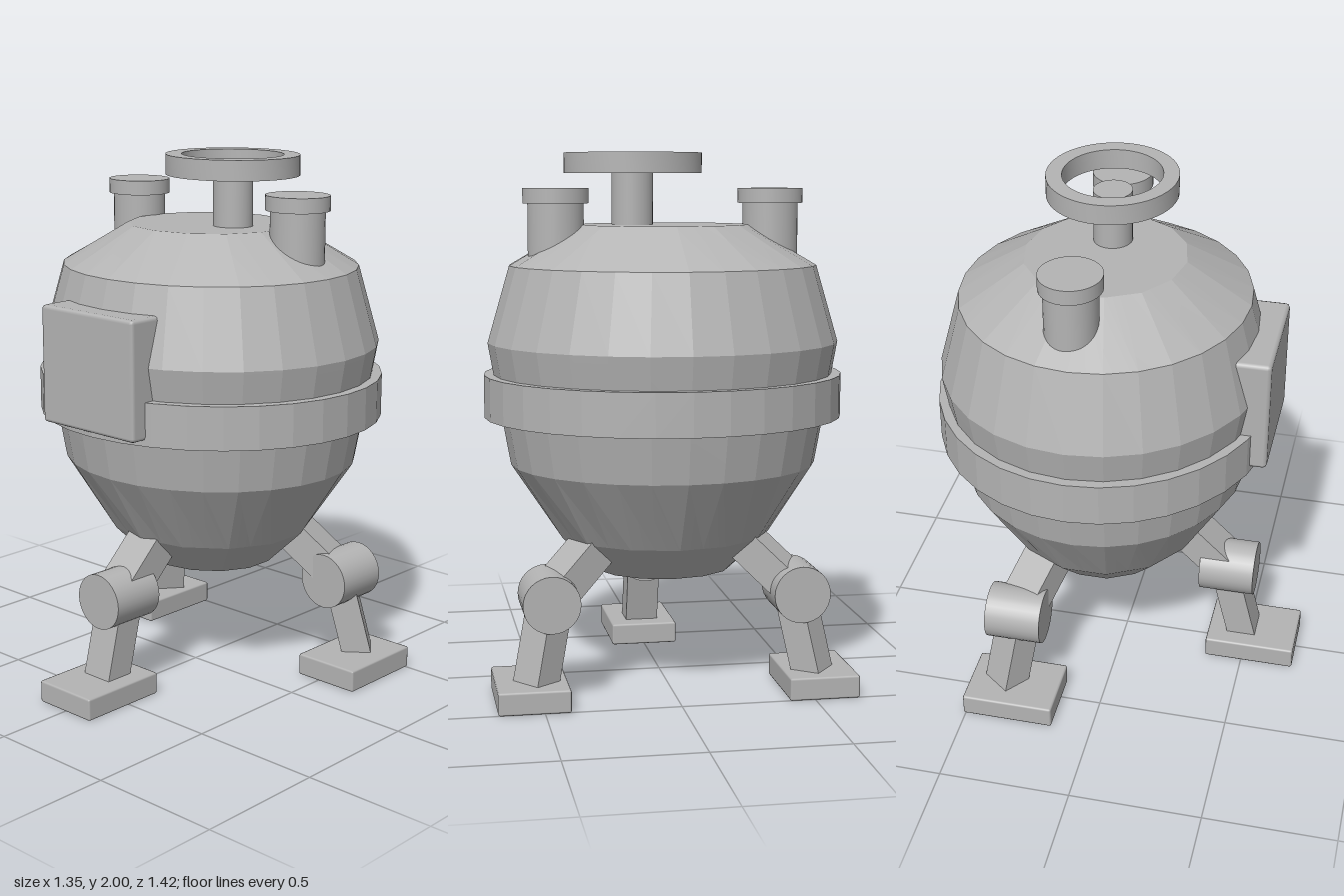
import * as THREE from 'three';
import { toCreasedNormals } from 'three/addons/utils/BufferGeometryUtils.js';
import { RoundedBoxGeometry } from 'three/addons/geometries/RoundedBoxGeometry.js';

const SQUASH = 0.935; // the vessel is slightly narrower front to back
const AXIS_Z = -0.08; // centre line of the vessel

export function createModel() {
  const model = new THREE.Group();
  model.name = 'tankOnLegs';
  const metal = new THREE.MeshStandardMaterial({ color: 0xb4b4b4 });
  metal.name = 'grey metal';

  const add = (name, geometry, x, y, z) => {
    const mesh = new THREE.Mesh(geometry, metal);
    mesh.name = name;
    mesh.position.set(x, y, z);
    model.add(mesh);
    return mesh;
  };
  const lathe = (points, sides) =>
    new THREE.LatheGeometry(points.map(([r, y]) => new THREE.Vector2(r, y)), sides);

  // upright cylinder between two heights, squashed like the vessel
  const post = (name, r, y0, y1, x, z) => {
    const g = new THREE.CylinderGeometry(r, r, y1 - y0, 32).scale(1, 1, SQUASH);
    return add(name, g, x, (y0 + y1) / 2, z);
  };

  // square bar running between two points
  const bar = (name, from, to, width, depth) => {
    const a = new THREE.Vector3(...from), b = new THREE.Vector3(...to);
    const m = a.clone().add(b).multiplyScalar(0.5);
    const mesh = add(name, new THREE.BoxGeometry(width, depth, a.distanceTo(b)), m.x, m.y, m.z);
    mesh.lookAt(b);
    return mesh;
  };

  // faceted vessel: 28 sides in the middle, 14 sides on the marked end rings
  const profile = [
    [0, 0.435, 0], [0.265, 0.435, 1], [0.405, 0.57, 1], [0.577, 0.84, 0], [0.61, 1.02, 0],
    [0.66, 1.3, 0], [0.577, 1.585, 0], [0.32, 1.735, 1], [0, 1.735, 0],
  ];
  const body = lathe(profile, 28);
  const pos = body.attributes.position;
  for (let i = 0; i < pos.count; i++) {
    const column = Math.floor(i / profile.length);
    const coarse = profile[i % profile.length][2];
    const k = coarse && column % 2 ? Math.cos(Math.PI / 14) : 1;
    pos.setX(i, pos.getX(i) * k);
    pos.setZ(i, pos.getZ(i) * k * SQUASH);
  }
  add('vessel', toCreasedNormals(body, 0.08), 0, 0, AXIS_Z);

  // band around the middle
  const band = new THREE.CylinderGeometry(0.675, 0.675, 0.16, 32).scale(1, 1, SQUASH);
  add('band', toCreasedNormals(band, 0.08), 0, 1.1, AXIS_Z);

  // front hatch
  add('hatch', new RoundedBoxGeometry(0.47, 0.44, 0.17, 1, 0.015), 0, 1.26, 0.487);

  // capped pipes on both shoulders
  for (const side of [-1, 1]) {
    post('pipe', 0.104, 1.6, 1.82, side * 0.405, -0.108);
    post('pipeCap', 0.122, 1.815, 1.87, side * 0.405, -0.108);
  }

  // hand wheel, offset to the left, and its stem
  post('wheelStem', 0.077, 1.7, 1.935, 0.115, AXIS_Z);
  const rim = lathe([[0.195, 1.925], [0.257, 1.925], [0.257, 2], [0.195, 2], [0.195, 1.925]], 48);
  add('wheelRim', toCreasedNormals(rim.scale(1, 1, SQUASH), 0.5), 0.1125, 0, AXIS_Z);

  // three legs: hip, knee, ankle and foot centres in x and z
  const legs = [
    { hip: [0, 0.2], knee: [0, 0.42], ankle: [0, 0.495], foot: [0, 0.53] },
  ];
  for (const s of [-1, 1]) {
    legs.push({
      hip: [s * 0.25, -0.225], knee: [s * 0.465, -0.328],
      ankle: [s * 0.525, -0.375], foot: [s * 0.537, -0.332],
    });
  }
  for (const { hip, knee, ankle, foot } of legs) {
    bar('upperLeg', [knee[0], 0.38, knee[1]], [hip[0], 0.59, hip[1]], 0.15, 0.12);
    bar('lowerLeg', [knee[0], 0.35, knee[1]], [ankle[0], 0.05, ankle[1]], 0.13, 0.11);
    add('knee', new THREE.CylinderGeometry(0.106, 0.106, 0.215, 32).rotateX(Math.PI / 2),
      knee[0], 0.38, knee[1]);
    add('foot', new RoundedBoxGeometry(0.265, 0.085, 0.354, 1, 0.008), foot[0], 0.0425, foot[1]);
  }
  return model;
}
